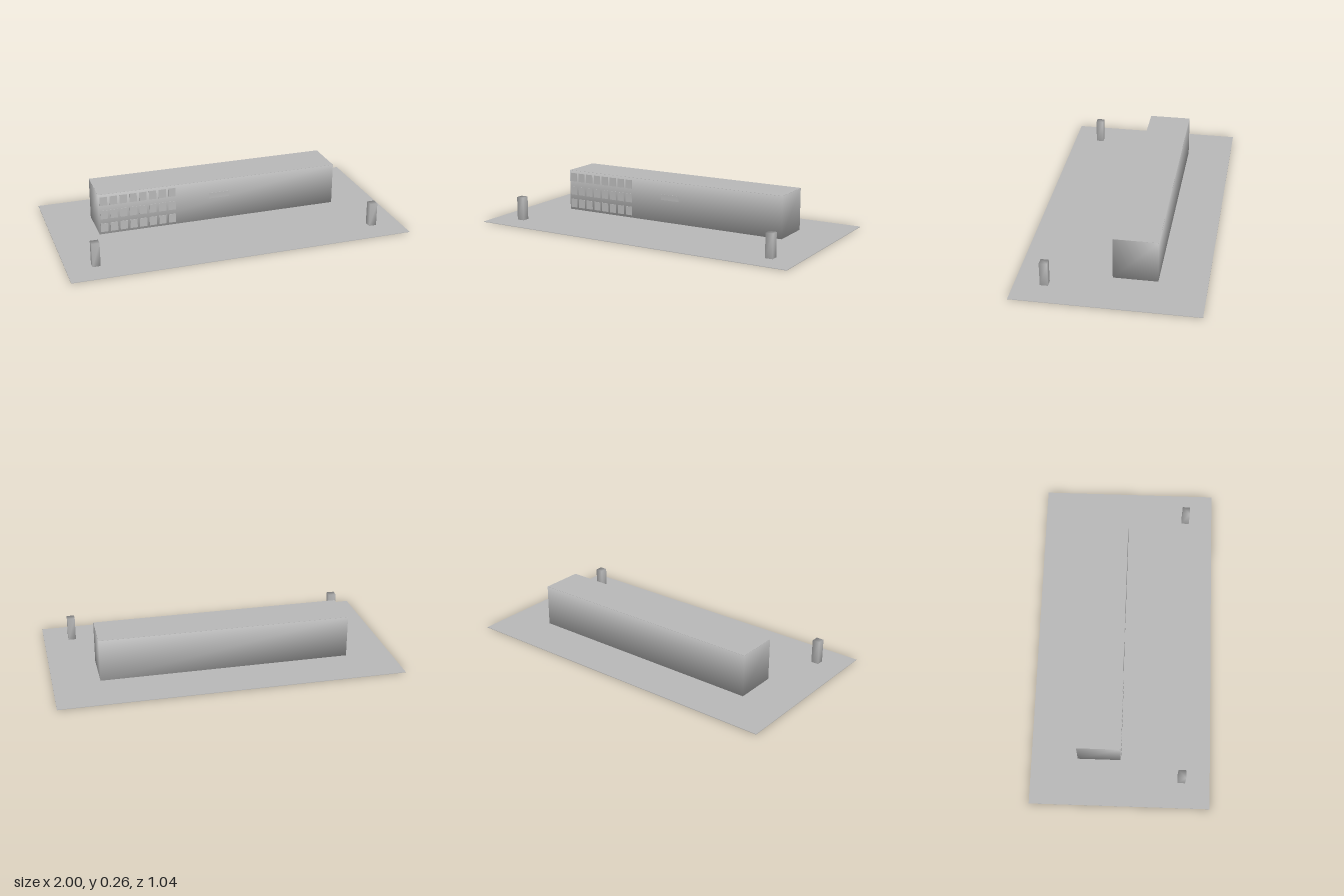
import * as THREE from 'three';
import { mergeVertices } from 'three/addons/utils/BufferGeometryUtils.js';

const grey = new THREE.MeshStandardMaterial({ color: 0xb8b8b8 });
grey.name = 'concrete grey';

// Box with normals shared across its edges, for soft shading
function softBox(w, h, d) {
  const box = new THREE.BoxGeometry(w, h, d);
  box.deleteAttribute('normal');
  box.deleteAttribute('uv');
  const geometry = mergeVertices(box);
  geometry.computeVertexNormals();
  return geometry;
}

function add(parent, name, geometry, x, y, z) {
  const mesh = new THREE.Mesh(geometry, grey);
  mesh.name = name;
  mesh.position.set(x, y, z);
  parent.add(mesh);
  return mesh;
}

export function createModel() {
  const model = new THREE.Group();
  model.name = 'buildingSite';

  // Ground slab
  add(model, 'ground', new THREE.BoxGeometry(2, 0.003, 1.04), 0, 0.0015, 0);

  // Long building with a flat roof
  add(model, 'buildingWalls', softBox(1.46, 0.249, 0.25), 0, 0.1325, -0.125);
  add(model, 'roof', new THREE.BoxGeometry(1.46, 0.001, 0.25), 0, 0.2575, -0.125);

  // Three rows of eight windows on the front
  const windows = new THREE.Group();
  windows.name = 'windows';
  model.add(windows);
  const pane = new THREE.BoxGeometry(0.044, 0.053, 0.004);
  for (const y of [0.049, 0.13, 0.215]) {
    for (let i = 0; i < 8; i++) {
      add(windows, 'window', pane, -0.7 + i * 0.0583, y, 0.001);
    }
  }

  // Blank plate at the middle of the front
  add(model, 'frontPlate', new THREE.BoxGeometry(0.124, 0.034, 0.003), -0.002, 0.161, 0.0005);

  // Pair of gate posts
  for (const side of [-1, 1]) {
    add(model, side > 0 ? 'leftPost' : 'rightPost', softBox(0.045, 0.143, 0.045),
      side * 0.831, 0.0715, 0.355);
  }

  return model;
}
